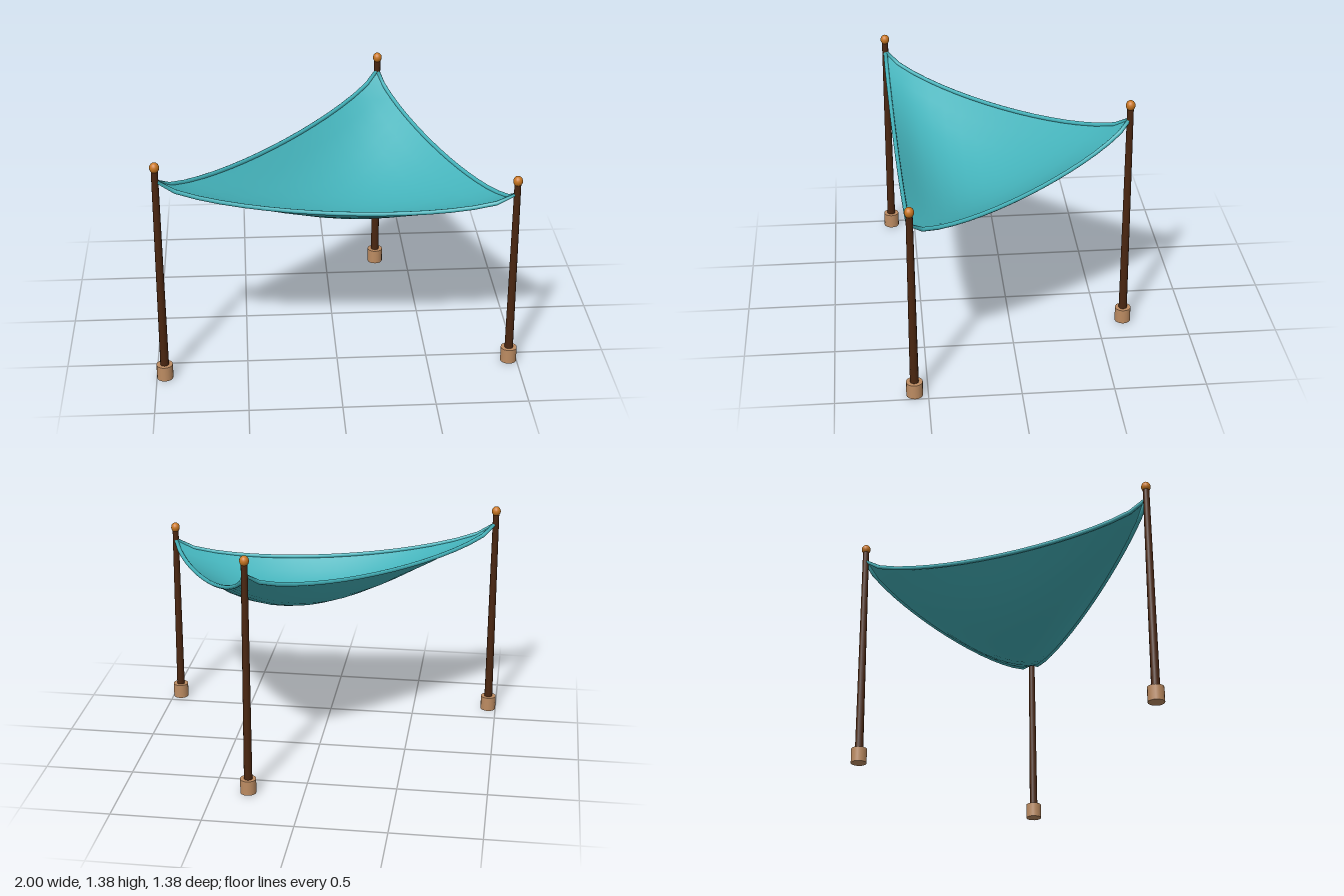
import * as THREE from 'three';

const N = 16; // subdivisions along each sail edge
const EDGE_SAG = 0.155;
const BELLY_SAG = 0.175;

// x, z, height of the finial centre, height of the sail corner
const posts = [
  { x: -0.955, z: 0.643, ball: 1.268, corner: 1.195 },
  { x: 0.955, z: 0.573, ball: 1.105, corner: 1.032 },
  { x: 0.308, z: -0.648, ball: 1.352, corner: 1.275 },
];

// Point on the hanging cloth from barycentric weights
function sailPoint(a, b, c) {
  const [p, q, r] = posts;
  const edge = EDGE_SAG * Math.pow(Math.max(0, 4 * (a * b + b * c + c * a)), 0.6);
  const belly = BELLY_SAG * 27 * a * b * c;
  return new THREE.Vector3(
    a * p.x + b * q.x + c * r.x,
    a * p.corner + b * q.corner + c * r.corner - edge - belly,
    a * p.z + b * q.z + c * r.z
  );
}

// Triangular grid, rows running from the front edge to the back corner
function sailGeometry() {
  const points = [], index = [];
  let start = 0;
  for (let j = 0; j <= N; j++) {
    const len = N - j;
    for (let i = 0; i <= len; i++) points.push(sailPoint((len - i) / N, i / N, j / N));
    const next = start + len + 1;
    for (let i = 0; i < len; i++) {
      index.push(start + i, start + i + 1, next + i);
      if (i < len - 1) index.push(start + i + 1, next + i + 1, next + i);
    }
    start = next;
  }
  const geo = new THREE.BufferGeometry().setFromPoints(points);
  geo.setIndex(index);
  geo.computeVertexNormals();
  return geo;
}

// Curve along one sail edge, from corner k to the next corner
class EdgeCurve extends THREE.Curve {
  constructor(k) {
    super();
    this.k = k;
  }
  getPoint(t, target = new THREE.Vector3()) {
    const w = [0, 0, 0];
    w[this.k] = 1 - t;
    w[(this.k + 1) % 3] = t;
    return target.copy(sailPoint(...w));
  }
}

export function createModel() {
  const group = new THREE.Group();
  const material = (name, color) => {
    const m = new THREE.MeshStandardMaterial({ color });
    m.name = name;
    return m;
  };
  const cloth = material('teal cloth', 0x44b2ba);
  cloth.side = THREE.DoubleSide;
  const wood = material('dark wood', 0x4a2610);
  const stone = material('tan footing', 0xbd8c62);
  const amber = material('amber finial', 0xc87620);

  const add = (parent, name, geo, mat) => {
    const mesh = new THREE.Mesh(geo, mat);
    mesh.name = name;
    parent.add(mesh);
    return mesh;
  };

  // Posts with footing and finial
  posts.forEach(({ x, z, ball }, k) => {
    const post = new THREE.Group();
    post.name = ['leftFrontPost', 'rightFrontPost', 'backPost'][k].replace(/left|right/, (s) => (s === 'left' ? 'right' : 'left'));
    post.position.set(x, 0, z);
    const bottom = 0.004;
    add(post, 'pole', new THREE.CylinderGeometry(0.018, 0.024, ball - bottom, 12), wood)
      .position.y = (ball + bottom) / 2;
    add(post, 'footing', new THREE.CylinderGeometry(0.045, 0.045, 0.084, 16), stone).position.y = 0.042;
    const finial = add(post, 'finial', new THREE.SphereGeometry(0.026, 16, 12), amber);
    finial.scale.y = 1.12;
    finial.position.y = ball;
    group.add(post);
  });

  // Sail and its rolled hems
  add(group, 'sail', sailGeometry(), cloth);
  for (let k = 0; k < 3; k++) {
    add(group, 'hem', new THREE.TubeGeometry(new EdgeCurve(k), N, 0.012, 8), cloth);
  }
  return group;
}
